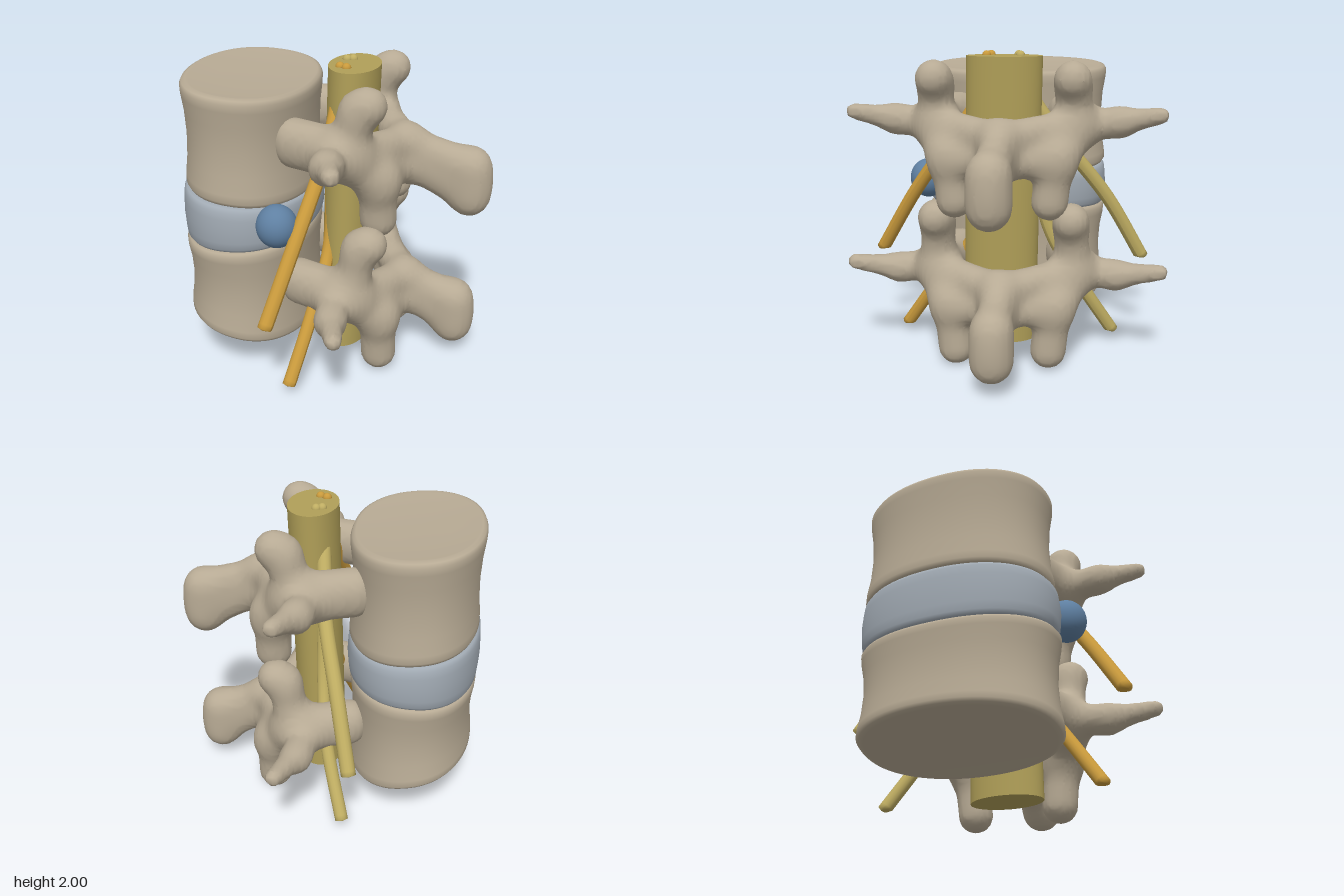
import * as THREE from 'three';
import { mergeVertices } from 'three/addons/utils/BufferGeometryUtils.js';

const material = (name, color, side = THREE.FrontSide) => {
  const m = new THREE.MeshStandardMaterial({ color, side });
  m.name = name;
  return m;
};
const lerp = THREE.MathUtils.lerp;

// Smooth skin over tapered limbs [x,y,z,r, x,y,z,r]; limbs off the midline are mirrored.
function skin(limbs, blend, min, max, h) {
  const all = limbs.flatMap((l) => l[0] || l[4] ? [l, l.map((v, i) => (i % 4 ? v : -v))] : [l]);
  const field = (x, y, z) => {
    let d = 9;
    for (const [ax, ay, az, ar, bx, by, bz, br] of all) {
      const ux = bx - ax, uy = by - ay, uz = bz - az;
      let t = ((x - ax) * ux + (y - ay) * uy + (z - az) * uz) / (ux * ux + uy * uy + uz * uz);
      t = Math.min(1, Math.max(0, t));
      const e = Math.hypot(x - ax - t * ux, y - ay - t * uy, z - az - t * uz) - lerp(ar, br, t);
      const k = Math.max(0, blend - Math.abs(d - e));
      d = Math.min(d, e) - (k * k) / (4 * blend);
    }
    return d;
  };
  const n = min.map((v, i) => Math.ceil((max[i] - v) / h) + 1);
  const step = [1, n[0], n[0] * n[1]];
  const value = new Float32Array(n[0] * n[1] * n[2]);
  const id = new Int32Array(value.length);
  const eachNode = (lo, hi, fn) => {
    for (let k = lo; k < n[2] - hi; k++)
      for (let j = lo; j < n[1] - hi; j++)
        for (let i = lo; i < n[0] - hi; i++) fn([i, j, k], i + j * step[1] + k * step[2]);
  };
  eachNode(0, 0, (c, q) => {
    value[q] = field(min[0] + c[0] * h, min[1] + c[1] * h, min[2] + c[2] * h);
  });
  // One vertex in each cell that the surface crosses
  const position = [], index = [];
  const corner = (c) => (c & 1) * step[0] + ((c >> 1) & 1) * step[1] + (c >> 2) * step[2];
  eachNode(0, 1, (cell, q) => {
    const sum = [0, 0, 0];
    let count = 0;
    for (let c = 0; c < 8; c++) {
      for (let a = 0; a < 3; a++) {
        if (c & (1 << a)) continue;
        const p = value[q + corner(c)], r = value[q + corner(c) + step[a]];
        if ((p < 0) === (r < 0)) continue;
        for (let i = 0; i < 3; i++) sum[i] += i === a ? p / (p - r) : (c >> i) & 1;
        count++;
      }
    }
    if (!count) return;
    id[q] = position.length / 3;
    position.push(...sum.map((s, i) => min[i] + (cell[i] + s / count) * h));
  });
  // One quad around each grid edge that the surface crosses
  eachNode(1, 1, (cell, q) => {
    for (let a = 0; a < 3; a++) {
      if ((value[q] < 0) === (value[q + step[a]] < 0)) continue;
      const u = step[(a + 1) % 3], v = step[(a + 2) % 3];
      const f = [id[q], id[q - u], id[q - u - v], id[q - v]];
      if (value[q] >= 0) f.reverse();
      index.push(f[0], f[1], f[2], f[0], f[2], f[3]);
    }
  });
  const g = new THREE.BufferGeometry();
  g.setAttribute('position', new THREE.Float32BufferAttribute(position, 3));
  g.setIndex(index);
  g.computeVertexNormals();
  return g;
}

// Bony arch; sup, wing and inf shift the heights of the upper joints, side wings and
// lower joints; span is the half width at the wing tips, reach the depth of the rear spine
function archGeometry({ sup, wing, inf, span, reach }) {
  return skin([
    [0.36, 1.59, 0.36, 0.12, 0.44, 1.58, 0.62, 0.12], // pedicle
    [0.36, 1.5, 0.36, 0.1, 0.44, 1.5, 0.6, 0.1],
    [0.47, 1.53, 0.62, 0.12, 0.72, 1.56 + wing, 0.65, 0.082], // side wing
    [0.72, 1.56 + wing, 0.65, 0.082, span, 1.615 + wing, 0.735, 0.052],
    [0.44, 1.54, 0.7, 0.13, 0.43, 1.82 + sup, 0.77, 0.095], // upper joint
    [0.43, 1.8 + sup, 0.77, 0.1, 0.43, 1.84 + sup, 0.83, 0.107],
    [0.44, 1.52, 0.71, 0.13, 0.34, 1.34, 0.87, 0.12], // lower joint
    [0.33, 1.38, 0.87, 0.115, 0.3, 1.085 + inf, 0.875, 0.115],
    [0.4, 1.54, 0.76, 0.1, 0, 1.48, 0.98, 0.11], // lamina
    [0.32, 1.35, 0.87, 0.1, 0, 1.34, 0.99, 0.1],
    [0, 1.49, 1.0, 0.09, 0, 1.36, reach - 0.02, 0.107], // rear spine
    [0, 1.38, 1.05, 0.09, 0, 1.26, reach, 0.108],
    [0, 1.32, 1.05, 0.08, 0, 1.16, reach - 0.02, 0.11],
    [0, 1.36, reach - 0.02, 0.107, 0, 1.16, reach - 0.02, 0.11],
  ], 0.08, [-1.18, 0.83, 0.1], [1.18, 2.12, 1.62], 0.028);
}

// Rounded oval block whose ends are tilted: bottom and top give heights at [far side, arch side]
function block(profile, a, b, bottom, top) {
  const points = profile.map(([r, y]) => new THREE.Vector2(r, y));
  let g = new THREE.LatheGeometry(points, 72);
  g.deleteAttribute('uv');
  g.deleteAttribute('normal');
  const p = g.attributes.position, power = 2.2;
  for (let i = 0; i < p.count; i++) {
    const x = p.getX(i), z = p.getZ(i), t = (z + 1) / 2;
    const norm = (Math.abs(x) ** power + Math.abs(z) ** power) ** (1 / power);
    const widen = norm ? Math.hypot(x, z) / norm : 1;
    p.setXYZ(i, x * a * widen, lerp(lerp(...bottom, t), lerp(...top, t), p.getY(i)), z * b * widen);
  }
  g = mergeVertices(g, 1e-5);
  g.computeVertexNormals();
  return g;
}

const bodyProfile = [
  [0, 0.03], [0.5, 0.025], [0.88, 0.012], [0.92, 0], [0.97, 0.015], [0.995, 0.05], [0.99, 0.12], [0.96, 0.28],
  [0.945, 0.5], [0.96, 0.72], [0.99, 0.88], [0.995, 0.95], [0.97, 0.985], [0.92, 1], [0.88, 0.988], [0.5, 0.975], [0, 0.97],
];
const discProfile = [
  [0, 0], [0.9, 0], [0.96, 0.03], [0.99, 0.1], [1, 0.25], [1.01, 0.5], [1, 0.75], [0.99, 0.9], [0.96, 0.97], [0.9, 1], [0, 1],
];

// Nerve tube, cut level at the lower end
function nerveGeometry(points, radius) {
  const curve = new THREE.CatmullRomCurve3(points.map((p) => new THREE.Vector3(...p)));
  const rings = 48, sides = 14;
  const g = new THREE.TubeGeometry(curve, rings, radius, sides);
  const p = g.attributes.position, end = curve.getPoint(1);
  for (let i = 0; i < p.count; i++) {
    if (i >= rings * (sides + 1)) p.setXYZ(i, end.x, end.y, end.z);
    p.setY(i, Math.max(p.getY(i), end.y + 0.025));
  }
  g.computeVertexNormals();
  return g;
}

export function createModel() {
  const bone = material('bone', 0xb7aa94);
  const cartilage = material('cartilage', 0xa1aab3);
  const bulge = material('bulge blue', 0x5f80a2);
  const sheath = material('sheath olive', 0xb09f58);
  const yellow = material('yellow nerve', 0xbfad62, THREE.DoubleSide);
  const orange = material('orange nerve', 0xc99a3c, THREE.DoubleSide);

  const model = new THREE.Group();
  model.name = 'spineSegment';
  const add = (parent, name, geometry, mat) => {
    const mesh = new THREE.Mesh(geometry, mat);
    mesh.name = name;
    parent.add(mesh);
    return mesh;
  };

  // Column frame: x across, z toward the rear spines, turned about y
  const column = new THREE.Group();
  column.name = 'column';
  column.position.set(-0.27, 0, -0.44);
  column.rotation.y = 0.466;
  model.add(column);

  // Two vertebrae with the disc between
  add(column, 'upperBody', block(bodyProfile, 0.618, 0.418, [1.23, 1.16], [1.91, 1.85]), bone);
  add(column, 'upperArch', archGeometry({ sup: 0, wing: 0, inf: 0, span: 0.97, reach: 1.42 }), bone);
  const lowerBody = add(column, 'lowerBody', block(bodyProfile, 0.635, 0.42, [0.36, 0.19], [0.88, 0.92]), bone);
  lowerBody.position.set(-0.015, 0, -0.01);
  const lower = { sup: 0.07, wing: -0.05, inf: -0.025, span: 1.0, reach: 1.345 };
  const lowerArch = add(column, 'lowerArch', archGeometry(lower), bone);
  lowerArch.position.set(0, -0.95, 0.02);
  const disc = add(column, 'disc', block(discProfile, 0.63, 0.428, [0.87, 0.91], [1.235, 1.17]), cartilage);
  disc.position.set(-0.01, 0, -0.005);

  // Nerve sheath, leaning slightly toward the bodies at its foot
  const sac = new THREE.CylinderGeometry(1, 1, 1.88, 48);
  sac.applyMatrix4(new THREE.Matrix4().set(
    0.242, 0.022, 0, -0.03,
    0, 1, 0, 1.03,
    0, 0.025, 0.16, 0.635,
    0, 0, 0, 1));
  add(column, 'nerveSheath', sac, sheath);

  // Disc bulge pressing on the nerve
  const hernia = add(model, 'discBulge', new THREE.SphereGeometry(1, 32, 24), bulge);
  hernia.position.set(-0.66, 1.105, 0.105);
  hernia.scale.set(0.125, 0.135, 0.128);

  // Nerve roots, the model's left being +x
  const nerves = [
    ['upperRightRoot', orange, 0.046, [[-0.12, 1.8, 0.14], [-0.22, 1.62, 0.17], [-0.38, 1.4, 0.21], [-0.65, 1.05, 0.25], [-0.975, 0.565, 0.27]]],
    ['lowerRightRoot', orange, 0.043, [[-0.14, 1.25, 0.1], [-0.22, 0.8, 0.14], [-0.46, 0.47, 0.21], [-0.77, 0.04, 0.26]]],
    ['upperLeftRoot', yellow, 0.046, [[0.1, 1.75, 0.02], [0.19, 1.58, -0.05], [0.31, 1.38, -0.14], [0.5, 1.03, -0.35], [0.68, 0.565, -0.57]]],
    ['lowerLeftRoot', yellow, 0.043, [[0.12, 1.4, 0], [0.22, 0.85, -0.06], [0.36, 0.5, -0.18], [0.54, 0.04, -0.43]]],
  ];
  for (const [name, mat, radius, path] of nerves) add(model, name, nerveGeometry(path, radius), mat);

  // Cut strand ends on top of the sheath
  const strands = [[-0.1, 0.13, orange], [-0.1, 0.18, orange], [0.06, 0.055, yellow], [0.09, 0.08, yellow]];
  for (const [x, z, mat] of strands) {
    add(model, 'strandEnd', new THREE.CapsuleGeometry(0.029, 0.04, 6, 14), mat).position.set(x, 1.95, z);
  }
  return model;
}
